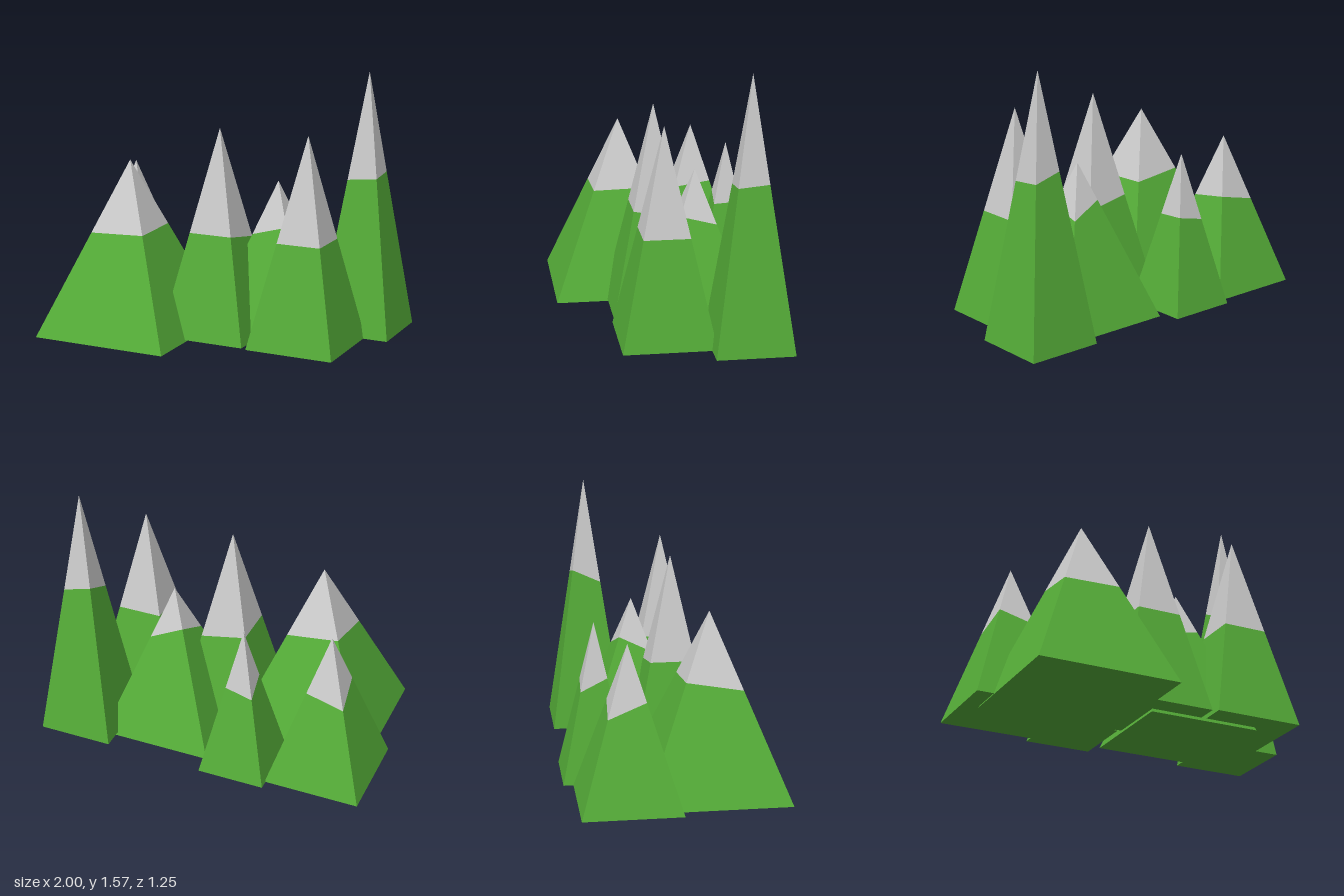
import * as THREE from 'three';

const green = new THREE.MeshStandardMaterial({ color: 0x55ad38, flatShading: true });
const grey = new THREE.MeshStandardMaterial({ color: 0xcccccc, flatShading: true });

// Corner directions: front left, front right, back right, back left as seen from the front
const CORNERS = [[-1, 1], [1, 1], [1, -1], [-1, -1]];

// Apex position, half width of the square base, base height,
// and how far down each corner edge the peak cap reaches (0 = apex, 1 = base)
const MOUNTAINS = [
  { name: 'backLeftMountain', apex: [-0.717, 0.93, -0.285], half: 0.283, base: 0.02, snow: [0.34, 0.41, 0.375, 0.43] },
  { name: 'frontLeftMountain', apex: [-0.488, 1.04, 0.203], half: 0.418, base: 0.01, snow: [0.41, 0.397, 0.39, 0.36] },
  { name: 'smallBackMountain', apex: [-0.24, 0.93, -0.425], half: 0.2, base: 0.02, snow: [0.35, 0.4, 0.39, 0.43] },
  { name: 'centreMountain', apex: [0.025, 1.245, 0.052], half: 0.265, base: 0.02, snow: [0.5, 0.5, 0.54, 0.5] },
  { name: 'frontRightMountain', apex: [0.587, 1.245, 0.067], half: 0.265, base: 0.02, snow: [0.5, 0.5, 0.5, 0.5] },
  { name: 'wideBackMountain', apex: [0.31, 0.92, -0.148], half: 0.339, base: 0, snow: [0.337, 0.277, 0.33, 0.24] },
  { name: 'tallMountain', apex: [0.777, 1.565, -0.387], half: 0.222, base: 0.02, snow: [0.41, 0.398, 0.388, 0.36] },
];

// Flat-faced mesh from a list of triangles, each made of three points
function facetedMesh(name, triangles, material) {
  const geometry = new THREE.BufferGeometry().setFromPoints(triangles.flat());
  geometry.computeVertexNormals();
  const mesh = new THREE.Mesh(geometry, material);
  mesh.name = name;
  return mesh;
}

function createMountain({ name, apex, half, base, snow }) {
  const tip = new THREE.Vector3(...apex);
  const foot = CORNERS.map(([x, z]) => new THREE.Vector3(tip.x + x * half, base, tip.z + z * half));
  const line = foot.map((p, i) => tip.clone().lerp(p, snow[i]));

  const slopes = [[foot[0], foot[2], foot[1]], [foot[0], foot[3], foot[2]]]; // underside
  const cap = [];
  for (let i = 0; i < 4; i++) {
    const j = (i + 1) % 4;
    slopes.push([foot[i], foot[j], line[j]], [foot[i], line[j], line[i]]);
    cap.push([line[i], line[j], tip]);
  }

  const mountain = new THREE.Group();
  mountain.name = name;
  mountain.add(facetedMesh('slopes', slopes, green), facetedMesh('peakCap', cap, grey));
  return mountain;
}

export function createModel() {
  const model = new THREE.Group();
  model.name = 'mountainRange';
  MOUNTAINS.forEach((m) => model.add(createMountain(m)));
  return model;
}
